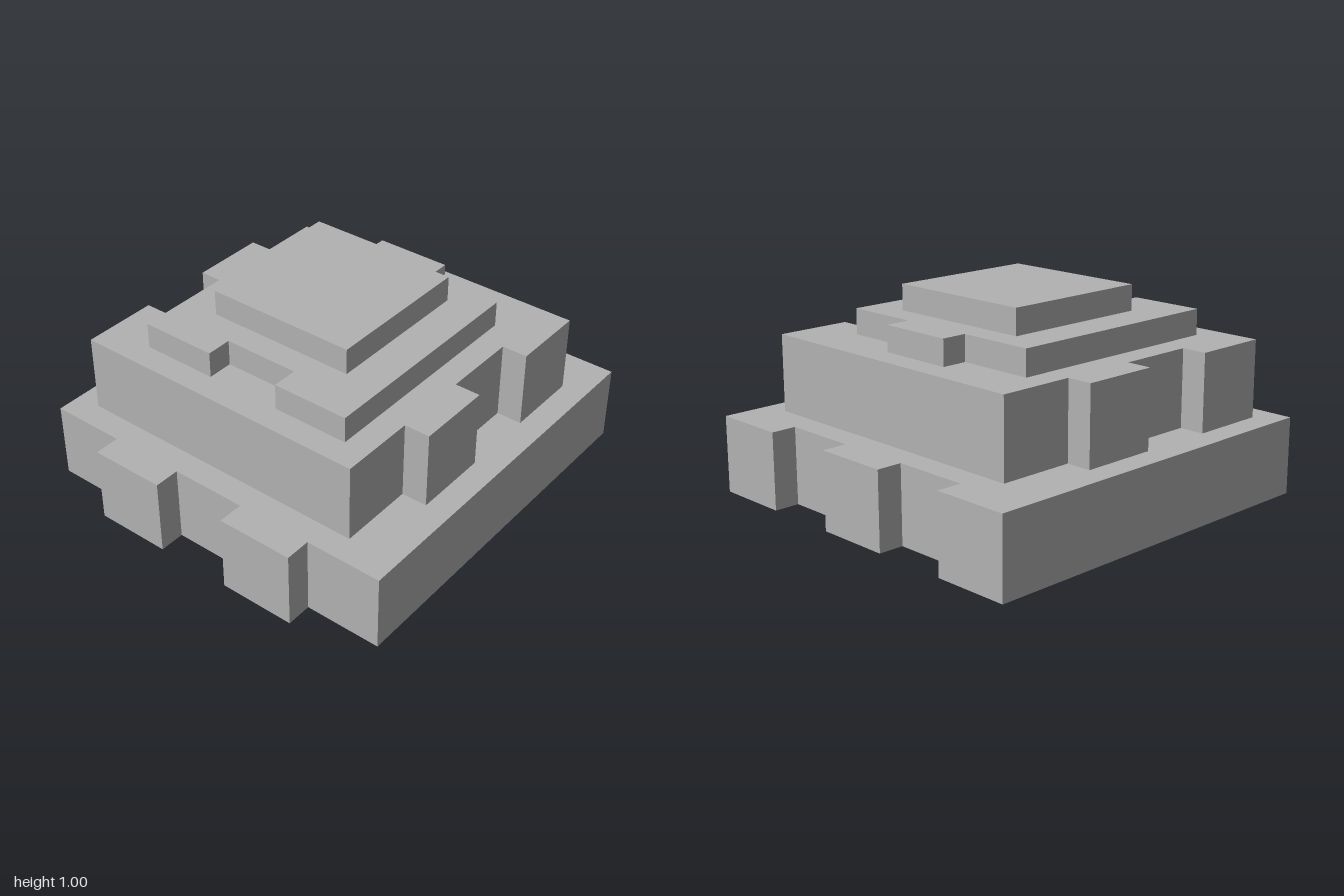
import * as THREE from 'three';

const U = 0.125; // grid unit

// Extrudes an [x, z] outline, given in grid units, between two heights.
function tier(name, outline, bottom, top, material) {
  const shape = new THREE.Shape(outline.map(([x, z]) => new THREE.Vector2(x * U, z * U)));
  const geometry = new THREE.ExtrudeGeometry(shape, { depth: (top - bottom) * U, bevelEnabled: false });
  geometry.rotateX(Math.PI / 2); // shape y becomes z, depth runs downward
  geometry.translate(0, top * U, 0);
  const mesh = new THREE.Mesh(geometry, material);
  mesh.name = name;
  return mesh;
}

export function createModel() {
  const stone = new THREE.MeshStandardMaterial({ color: 0xb2b2b2 });
  stone.name = 'stone grey';

  const model = new THREE.Group();
  model.name = 'steppedBlock';

  // Base: tabs along the left and right edges
  const base = [
    [-7, -7.5], [8, -7.5],
    [8, -4.5], [7, -4.5], [7, -1.5], [8, -1.5], [8, 1.5], [7, 1.5], [7, 4.5], [8, 4.5],
    [8, 7.5], [-7, 7.5],
    [-7, 4.5], [-8, 4.5], [-8, 1.5], [-7, 1.5], [-7, -1.5], [-8, -1.5], [-8, -4.5], [-7, -4.5],
  ];

  // Second tier: tabs along the front and back edges
  const middle = [
    [-6, -6.5], [-3, -6.5], [-3, -5.5], [0, -5.5], [0, -6.5], [3, -6.5], [3, -5.5], [6, -5.5],
    [6, 6.5], [3, 6.5], [3, 5.5], [0, 5.5], [0, 6.5], [-3, 6.5], [-3, 5.5], [-6, 5.5],
  ];

  // Third tier: one tab on +x and one notch on -x
  const upper = [
    [-5, -4.5], [4, -4.5], [4, -1.5], [5, -1.5], [5, 1.5], [4, 1.5],
    [4, 4.5], [-5, 4.5], [-5, 1.5], [-4, 1.5], [-4, -1.5], [-5, -1.5],
  ];

  // Plain square cap
  const cap = [[-3, -3], [3, -3], [3, 3], [-3, 3]];

  model.add(
    tier('baseTier', base, 0, 3, stone),
    tier('middleTier', middle, 3, 6, stone),
    tier('upperTier', upper, 6, 7, stone),
    tier('topCap', cap, 7, 8, stone),
  );
  return model;
}
